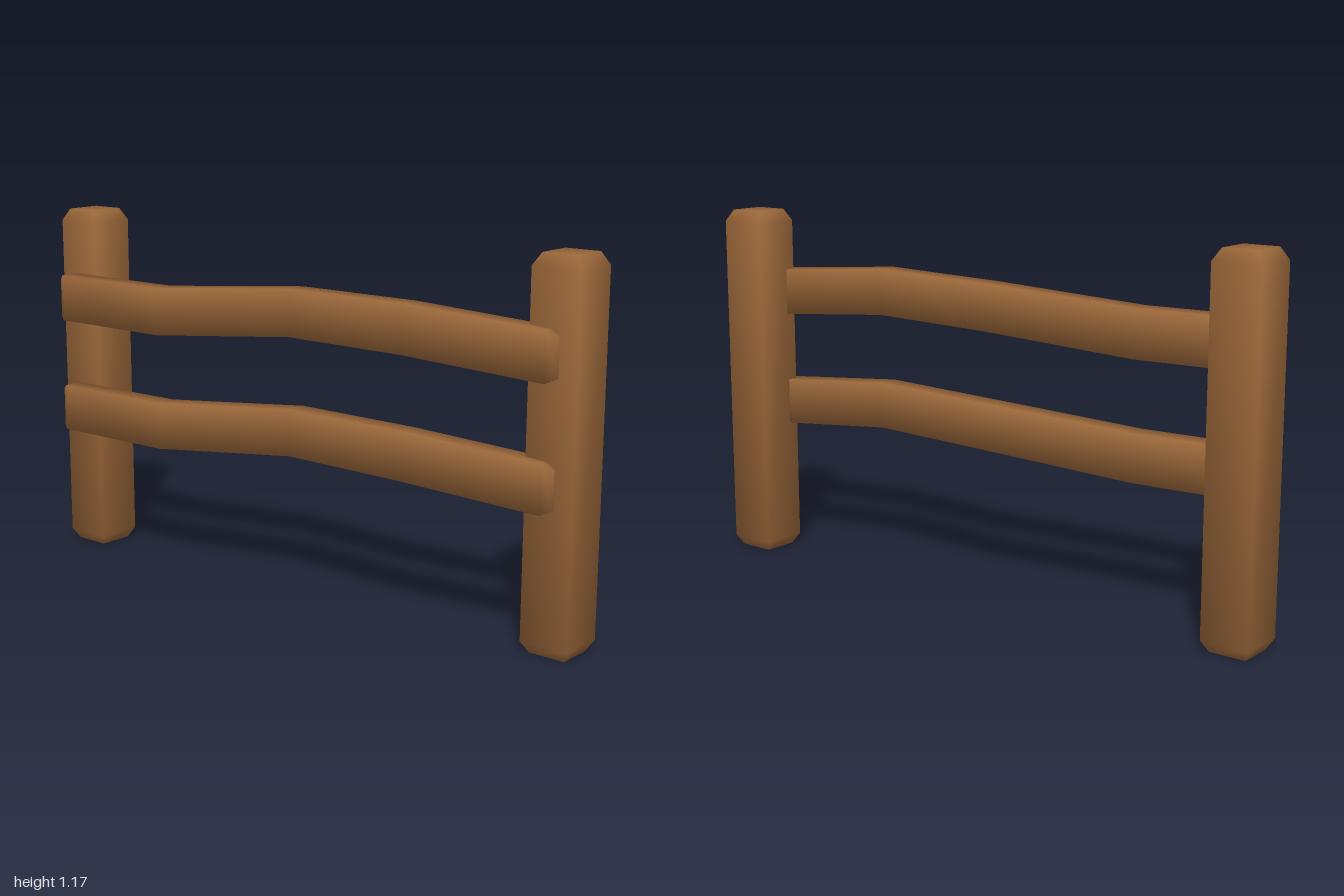
import * as THREE from 'three';

// Joins four-cornered rings into a closed solid with softly averaged normals.
function loft(rings) {
  const pts = rings.flat();
  const normals = pts.map(() => new THREE.Vector3());
  const index = [];
  const quad = (a, b, c, d) => {
    index.push(a, b, c, a, c, d);
    const n = pts[c].clone().sub(pts[a]).cross(pts[d].clone().sub(pts[b])).normalize();
    [a, b, c, d].forEach((i) => normals[i].add(n));
  };
  for (let r = 0; r < rings.length - 1; r++) {
    for (let i = 0; i < 4; i++) {
      const j = (i + 1) % 4;
      quad(r * 4 + i, r * 4 + j, r * 4 + 4 + j, r * 4 + 4 + i);
    }
  }
  const e = pts.length - 4;
  quad(3, 2, 1, 0);
  quad(e, e + 1, e + 2, e + 3);
  const g = new THREE.BufferGeometry();
  g.setAttribute('position', new THREE.Float32BufferAttribute(pts.flatMap((p) => p.toArray()), 3));
  g.setAttribute('normal', new THREE.Float32BufferAttribute(normals.flatMap((n) => n.normalize().toArray()), 3));
  g.setIndex(index);
  return g;
}

// Horizontal ring for a post
const postRing = (y, hx, hz) =>
  [[1, 1], [1, -1], [-1, -1], [-1, 1]].map(([sx, sz]) => new THREE.Vector3(sx * hx, y, sz * hz));

// Upright ring for a rail
const railRing = ([z, x, y, hx, hy]) =>
  [[1, -1], [1, 1], [-1, 1], [-1, -1]].map(([sx, sy]) => new THREE.Vector3(x + sx * hx, y + sy * hy, z));

export function createModel() {
  const group = new THREE.Group();
  const wood = new THREE.MeshStandardMaterial({ color: 0x996639 });
  wood.name = 'brown wood';

  // Bevelled posts, each turned slightly
  const postGeometry = loft([
    postRing(0, 0.058, 0.06),
    postRing(0.035, 0.077, 0.08),
    postRing(1.135, 0.077, 0.08),
    postRing(1.173, 0.06, 0.057),
  ]);
  for (const [name, z] of [['frontPost', 0.916], ['backPost', -0.916]]) {
    const post = new THREE.Mesh(postGeometry, wood);
    post.name = name;
    post.position.set(0.034, 0, z);
    post.rotation.y = -0.05;
    group.add(post);
  }

  // Crooked rails: z, x, y, half width, half height
  const railGeometry = loft([
    [-0.945, -0.082, 0.881, 0.027, 0.063],
    [-0.93, -0.082, 0.881, 0.034, 0.077],
    [-0.5, -0.083, 0.878, 0.036, 0.077],
    [0, -0.026, 0.918, 0.036, 0.075],
    [0.45, -0.07, 0.923, 0.035, 0.076],
    [0.9, -0.035, 0.89, 0.035, 0.076],
    [0.93, -0.033, 0.888, 0.022, 0.06],
  ].map(railRing));
  for (const [name, y] of [['upperRail', 0], ['lowerRail', -0.38]]) {
    const rail = new THREE.Mesh(railGeometry, wood);
    rail.name = name;
    rail.position.y = y;
    group.add(rail);
  }
  return group;
}
